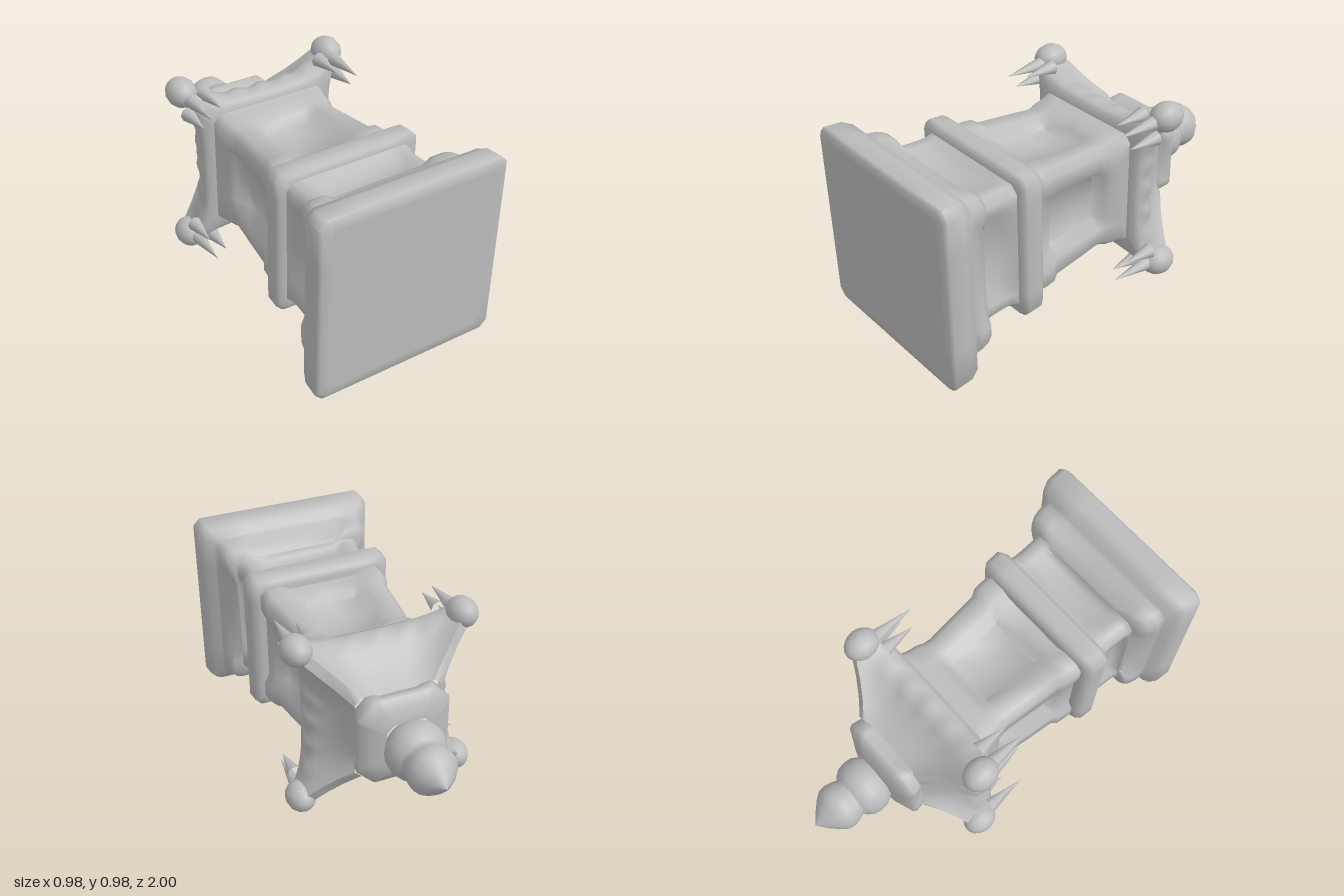
import * as THREE from 'three';
import { toCreasedNormals } from 'three/addons/utils/BufferGeometryUtils.js';

const stone = new THREE.MeshStandardMaterial({ color: 0xbcbcbc });
stone.name = 'grey stone';

// Joins four-sided rings; sidePoints(section) gives [along, height, outward] for one side
function loft(sections, sidePoints) {
  const pos = [], index = [];
  let n = 0;
  for (const s of sections) {
    const side = sidePoints(s);
    n = side.length * 4;
    for (let k = 0; k < 4; k++) {
      const c = Math.round(Math.cos(k * Math.PI / 2)), d = Math.round(Math.sin(k * Math.PI / 2));
      for (const [u, h, o] of side) pos.push(u * c + o * d, h, -u * d + o * c);
    }
  }
  for (let j = 0; j < sections.length - 1; j++) {
    for (let i = 0; i < n; i++) {
      const a = j * n + i, b = j * n + (i + 1) % n;
      index.push(a, b, b + n, a, b + n, a + n);
    }
  }
  const g = new THREE.BufferGeometry();
  g.setAttribute('position', new THREE.Float32BufferAttribute(pos, 3));
  g.setIndex(index);
  return toCreasedNormals(g, 1.1);
}

// Square block side with chamfered corners and an optional sunken panel with sloping edges
function blockSide([h, half, recess = 0, panel = 0.2, chamfer = 0.035]) {
  const e = half - Math.min(chamfer, half * 0.35);
  const p = Math.min(panel, half * 0.6), q = Math.min(p + 0.05, (p + e) / 2);
  const r = half - recess;
  return [[-e, h, half], [-q, h, half], [-p, h, r], [0, h, r], [p, h, r], [q, h, half], [e, h, half]];
}

// Roof side: middle and corner have their own height and reach; wave makes scallops
function roofSide([hMid, mid, hCorner, corner, wave = 0]) {
  const pts = [], steps = 32, reach = corner - Math.min(0.035, corner * 0.2);
  for (let i = 0; i <= steps; i++) {
    const t = i / steps * 2 - 1, k = Math.abs(t) ** 3.5;
    const w = wave * Math.cos(t * Math.PI * 6) * (1 - k);
    pts.push([t * reach, hMid + (hCorner - hMid) * k + w, mid + (corner - mid) * k + w * 0.6]);
  }
  return pts;
}

export function createModel() {
  const model = new THREE.Group();
  model.name = 'stoneLantern';
  const lantern = new THREE.Group();
  lantern.name = 'lantern';
  model.add(lantern);
  const add = (name, geo, parent = lantern) => {
    const m = new THREE.Mesh(geo, stone);
    m.name = name;
    parent.add(m);
    return m;
  };

  // Stepped foot
  add('base', loft([
    [0, 0.001], [0, 0.42], [0, 0.465], [0.015, 0.48], [0.1, 0.475], [0.145, 0.455], [0.165, 0.42],
    [0.18, 0.41], [0.21, 0.408, 0.01, 0.26], [0.25, 0.4, 0.025, 0.26], [0.28, 0.385, 0.03, 0.26],
    [0.295, 0.34, 0, 0.2]], blockSide));

  // Waist with shallow panels
  add('waist', loft([
    [0.295, 0.34, 0, 0.2], [0.305, 0.333, 0.02, 0.2], [0.33, 0.33, 0.035, 0.2], [0.4, 0.327, 0.03, 0.2],
    [0.45, 0.327, 0.01, 0.2], [0.485, 0.335]], blockSide));

  // Rounded middle slab
  add('middleSlab', loft([
    [0.485, 0.335], [0.49, 0.365], [0.51, 0.38], [0.585, 0.376], [0.61, 0.358], [0.62, 0.33],
    [0.622, 0.28]], blockSide));

  // Light chamber with sunken windows and tapering corner posts
  add('lightChamber', loft([
    [0.62, 0.33, 0.025, 0.17], [0.66, 0.33, 0.03, 0.16], [0.71, 0.325, 0.04, 0.15],
    [0.74, 0.308, 0.062, 0.13], [0.9, 0.295, 0.062, 0.125], [1.03, 0.283, 0.058, 0.12],
    [1.07, 0.286, 0.02, 0.12], [1.1, 0.295, 0.005, 0.12], [1.16, 0.302, 0, 0.13],
    [1.195, 0.31]], blockSide));

  // Curved roof with scalloped eaves and raised corner ridges
  add('roof', loft([
    [1.195, 0.3, 1.195, 0.3], [1.2, 0.35, 1.21, 0.37], [1.225, 0.362, 1.25, 0.42],
    [1.26, 0.366, 1.3, 0.445, 0.007], [1.3, 0.358, 1.365, 0.44, 0.007], [1.33, 0.325, 1.4, 0.395],
    [1.38, 0.28, 1.425, 0.35], [1.44, 0.235, 1.47, 0.285], [1.51, 0.2, 1.525, 0.22]], roofSide));

  // Block on top of the roof
  add('roofCap', loft([
    [1.5, 0.2, 0.01, 0.09, 0.05], [1.515, 0.215, 0.012, 0.09, 0.05], [1.545, 0.224, 0.012, 0.09, 0.07],
    [1.57, 0.23, 0, 0.09, 0.08], [1.59, 0.222, 0, 0.09, 0.08], [1.61, 0.18, 0, 0.09, 0.07],
    [1.63, 0.14, 0, 0.09, 0.06], [1.634, 0.11]], blockSide));

  // Double bulb finial with a pointed tip
  const bulb = [[0.118, 1.628], [0.126, 1.645], [0.142, 1.67], [0.146, 1.71], [0.138, 1.75], [0.116, 1.78],
    [0.102, 1.79], [0.112, 1.815], [0.12, 1.85], [0.116, 1.885], [0.09, 1.92], [0.05, 1.96], [0, 2]];
  add('finial', new THREE.LatheGeometry(bulb.map(([r, h]) => new THREE.Vector2(r, h)), 20));

  // Four roof corners: knob and hanging spikes
  for (let k = 0; k < 4; k++) {
    const corner = new THREE.Group();
    corner.name = 'roofCorner' + (k + 1);
    corner.rotation.y = k * Math.PI / 2;
    lantern.add(corner);

    const knob = add('knob', new THREE.SphereGeometry(0.074, 14, 10), corner);
    knob.position.set(0.414, 1.325, 0.414);
    knob.scale.y = 1.2;

    for (const [x, z, tip] of [[0.405, 0.405, 1.03], [0.415, 0.325, 1.09], [0.325, 0.415, 1.09]]) {
      const len = 1.26 - tip;
      const spike = add('spike', new THREE.ConeGeometry(0.038, len, 8, 1, true), corner);
      spike.rotation.x = Math.PI;
      spike.position.set(x, tip + len / 2, z);
    }
  }

  // Lay the lantern on its side, foot to the front
  lantern.rotation.x = -Math.PI / 2;
  lantern.position.set(0, 0.491, 1);
  return model;
}
